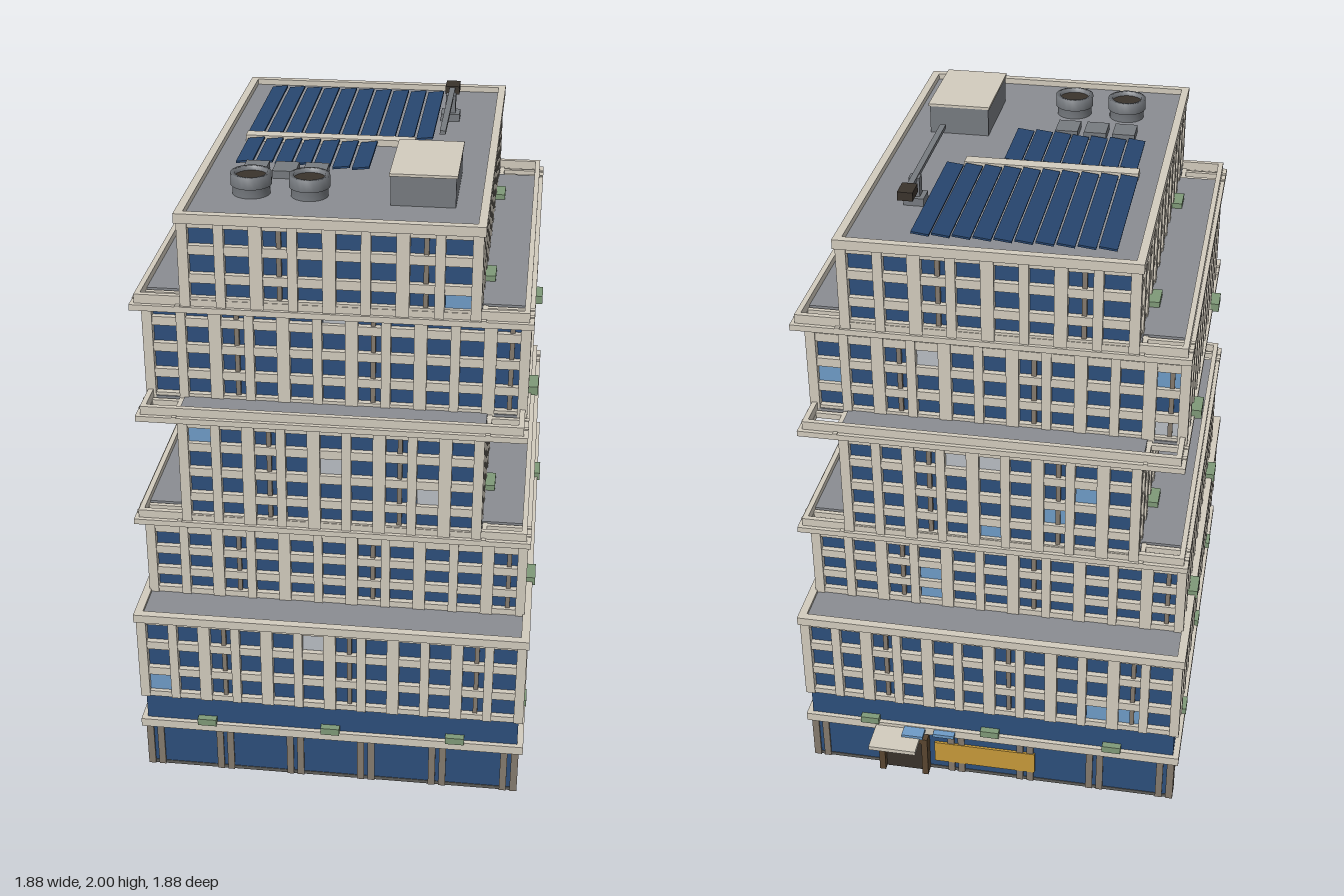
import * as THREE from 'three';
import { mergeGeometries } from 'three/addons/utils/BufferGeometryUtils.js';

const mat = (color) => new THREE.MeshStandardMaterial({ color });
const M = {
  frame: mat(0xd3ccbe), glass: mat(0x2d4f7c), light: mat(0x6f9cc8), blind: mat(0xb9bec4),
  deck: mat(0x8a8d92), under: mat(0x5e5d59), pier: mat(0x857b6e), plant: mat(0x7f9a78),
  panel: mat(0x27466f), metal: mat(0x777b80), dark: mat(0x3a332c), gold: mat(0xc79a3a), door: mat(0x5a4630),
};

// Box geometry from size and centre
const box = (w, h, d, x, y, z) => new THREE.BoxGeometry(w, h, d).translate(x, y, z);

function add(parent, name, geos, material) {
  const list = [].concat(geos);
  if (!list.length) return;
  const mesh = new THREE.Mesh(mergeGeometries(list), material);
  mesh.name = name;
  parent.add(mesh);
}

// Rectangular ring of four beams, outer half sizes hx and hz
function ring(hx, hz, y0, y1, t) {
  const y = (y0 + y1) / 2, h = y1 - y0, out = [];
  for (const s of [-1, 1]) {
    out.push(box(2 * hx, h, t, 0, y, s * (hz - t / 2)));
    out.push(box(t, h, 2 * (hz - t), s * (hx - t / 2), y, 0));
  }
  return out;
}

// The four sides of a block: turn, half width along the side, distance from the centre
const sides = (hx, hz) => [[0, hx, hz], [Math.PI / 2, hz, hx], [Math.PI, hx, hz], [-Math.PI / 2, hz, hx]];

let seed = 7;
const rand = () => (seed = (seed * 16807) % 2147483647) / 2147483647;

// One storey block: recessed glass behind a grid of piers and bands
function tier(parent, name, hx, hz, y0, y1, rows) {
  const g = new THREE.Group();
  g.name = name;
  const inset = 0.022, h = y1 - y0, mid = (y0 + y1) / 2;
  add(g, 'glazing', box(2 * (hx - inset), h, 2 * (hz - inset), 0, mid, 0), M.glass);
  const grid = [], bright = [], blinds = [], mullions = [];
  for (const [turn, half, dist] of sides(hx, hz)) {
    const put = (list, geo) => list.push(geo.rotateY(turn));
    const n = Math.round((2 * half) / 0.106), pitch = (2 * half - 0.03) / n, rise = h / rows;
    for (let i = 0; i <= n; i++) {
      const x = -half + 0.015 + i * pitch;
      const w = i === 0 || i === n ? 0.03 : i % 2 ? 0.028 : 0.038;
      put(grid, box(w, h, 0.024, x, mid, dist - 0.012));
      if (i < n && i % 4 === 2) put(mullions, box(0.014, h, 0.012, x + pitch * 0.62, mid, dist - inset + 0.004));
    }
    for (let r = 0; r <= rows; r++) {
      const edge = r === 0 || r === rows, bh = edge ? 0.02 : 0.028;
      const y = r === 0 ? y0 + 0.01 : r === rows ? y1 - 0.01 : y0 + r * rise;
      put(grid, box(2 * half - 0.008, bh, 0.02, 0, y, dist - 0.014));
    }
    // a few brighter panes and drawn blinds
    for (let i = 0; i < n; i++) for (let r = 0; r < rows; r++) {
      const k = rand();
      if (k > 0.06) continue;
      put(k < 0.04 ? bright : blinds,
        box(pitch * 0.7, rise * 0.66, 0.006, -half + 0.015 + (i + 0.5) * pitch, y0 + (r + 0.5) * rise, dist - inset + 0.002));
    }
  }
  add(g, 'facadeGrid', grid, M.frame);
  add(g, 'mullions', mullions, M.pier);
  add(g, 'brightPanes', bright, M.light);
  add(g, 'blinds', blinds, M.blind);
  parent.add(g);
}

// Terrace between two crossing blocks, with open beams over the corners
function terrace(parent, name, a, b, y0, y1) {
  const g = new THREE.Group();
  g.name = name;
  const X = Math.max(a[0], b[0]) + 0.007, Z = Math.max(a[1], b[1]) + 0.007;
  const x = Math.min(a[0], b[0]), z = Math.min(a[1], b[1]);
  const plates = (h, y) => [box(2 * X - 0.03, h, 2 * z, 0, y, 0), box(2 * x, h, 2 * Z - 0.03, 0, y, 0)];
  add(g, 'soffit', plates(0.012, y0 + 0.008), M.under);
  add(g, 'deck', plates(0.012, y0 + 0.019), M.deck);
  const beams = [...ring(X, Z, y0, y0 + 0.018, 0.03), ...ring(X - 0.013, Z - 0.013, y0 + 0.018, y1, 0.016)];
  for (const sx of [-1, 1]) for (const sz of [-1, 1]) {
    for (const f of [0.12, 0.55]) {
      beams.push(box(X - x, 0.018, 0.014, sx * (X + x) / 2, y0 + 0.012, sz * (z + f * (Z - z))));
    }
    beams.push(box(0.014, 0.018, Z - z, sx * (x + 0.008), y0 + 0.012, sz * (z + Z) / 2));
  }
  add(g, 'cornice', beams, M.frame);
  parent.add(g);
}

export function createModel() {
  const model = new THREE.Group();
  model.name = 'steppedTower';
  const b = new THREE.Group();
  b.name = 'building';
  b.rotation.y = -Math.PI / 4;
  model.add(b);

  // Glazed base with piers, ledge and the second floor
  add(b, 'basePlate', box(1.2, 0.012, 1.38, 0, 0.006, 0), M.under);
  add(b, 'baseGlazing', box(1.196, 0.27, 1.376, 0, 0.147, 0), M.glass);
  const piers = [], basePlants = [];
  for (const [turn, half, dist] of sides(0.605, 0.695)) {
    const n = half > 0.65 ? 6 : 5;
    for (let i = 0; i <= n; i++) for (const s of [-1, 1]) {
      const x = -half + 0.03 + i * (2 * half - 0.06) / n + s * 0.017;
      piers.push(box(0.022, 0.165, 0.022, x, 0.0825, dist - 0.012).rotateY(turn));
    }
    for (const s of [-1, 0, 1]) {
      basePlants.push(box(0.06, 0.024, 0.03, s * half * 0.66, 0.196, dist).rotateY(turn));
    }
  }
  add(b, 'basePiers', piers, M.pier);
  add(b, 'ledge', ring(0.617, 0.703, 0.158, 0.187, 0.04), M.frame);
  add(b, 'ledgePlanters', basePlants, M.plant);

  // Entrance on the back right side
  add(b, 'doorFrame', [box(0.02, 0.15, 0.05, 0.215, 0.075, -0.7), box(0.02, 0.15, 0.05, 0.36, 0.075, -0.7),
    box(0.165, 0.02, 0.05, 0.2875, 0.143, -0.7)], M.door);
  add(b, 'door', box(0.13, 0.135, 0.02, 0.2875, 0.067, -0.694), M.dark);
  add(b, 'canopy', box(0.155, 0.014, 0.13, 0.303, 0.168, -0.742), M.frame);
  add(b, 'canopyGlass', [box(0.07, 0.012, 0.05, 0.25, 0.178, -0.72), box(0.07, 0.012, 0.05, 0.15, 0.178, -0.7)], M.light);
  add(b, 'litWindow', box(0.335, 0.08, 0.012, 0.02, 0.08, -0.69), M.gold);

  // Stacked blocks, alternately long and wide: half x, half z, bottom, top, rows
  const T = [[0.612, 0.702, 0.28, 0.578, 3], [0.598, 0.56, 0.59, 0.908, 4], [0.455, 0.655, 0.925, 1.268, 4],
    [0.572, 0.537, 1.28, 1.622, 4], [0.43, 0.64, 1.638, 1.898, 3]];
  T.forEach((t, i) => tier(b, 'block' + (i + 1), ...t));
  add(b, 'lowerTerrace', box(1.2, 0.014, 1.38, 0, 0.582, 0), M.deck);
  add(b, 'lowerParapet', ring(0.618, 0.708, 0.57, 0.598, 0.026), M.frame);
  terrace(b, 'terrace1', T[1], T[2], 0.906, 0.95);
  terrace(b, 'terrace2', T[2], T[3], 1.265, 1.31);
  terrace(b, 'terrace3', T[3], T[4], 1.62, 1.666);

  // Planters at the foot of the long sides
  const plants = [];
  for (const [hx, , y0] of T.slice(1)) for (const sx of [-1, 1]) for (const sz of [-1, 1]) {
    plants.push(box(0.04, 0.028, 0.08, sx * (hx + 0.008), y0 + 0.01, sz * 0.335));
  }
  add(b, 'planters', plants, M.plant);

  // Roof deck and parapet
  const roof = new THREE.Group();
  roof.name = 'roof';
  b.add(roof);
  add(roof, 'roofDeck', box(0.85, 0.016, 1.27, 0, 1.896, 0), M.deck);
  add(roof, 'roofParapet', ring(0.436, 0.646, 1.893, 1.922, 0.024), M.frame);

  // Rows of solar panels on both sides of a walkway
  const panels = [];
  const panelRow = (x, z0, z1) =>
    panels.push(box(0.052, 0.006, z1 - z0, 0, 0, 0).rotateZ(0.12).translate(x, 1.917, (z0 + z1) / 2));
  for (let i = 0; i < 10; i++) panelRow(-0.325 + i * 0.059, -0.56, -0.08);
  for (let i = 0; i < 7; i++) panelRow(-0.315 + i * 0.059, -0.025, i < 4 ? 0.19 : 0.21);
  add(roof, 'solarPanels', panels, M.panel);
  add(roof, 'walkway', box(0.53, 0.02, 0.042, -0.085, 1.914, -0.053), M.frame);
  add(roof, 'coolingUnits', [-0.27, -0.18, -0.09].map((x) => box(0.07, 0.025, 0.085, x, 1.915, 0.245)), M.metal);

  // Round fans
  for (const x of [-0.255, -0.085]) {
    const pts = [[0.055, 1.9], [0.055, 1.93], [0.06, 1.932], [0.06, 1.967], [0.047, 1.967], [0.047, 1.95]];
    const shell = new THREE.LatheGeometry(pts.map((p) => new THREE.Vector2(...p)), 20).translate(x, 0, 0.41);
    add(roof, 'fanHousing', shell, M.metal);
    add(roof, 'fanWell', new THREE.CylinderGeometry(0.048, 0.048, 0.05, 20).translate(x, 1.93, 0.41), M.dark);
  }

  // Plant room
  add(roof, 'plantRoom', box(0.186, 0.09, 0.29, 0.247, 1.947, 0.32), M.metal);
  add(roof, 'plantRoomRoof', box(0.194, 0.008, 0.298, 0.247, 1.996, 0.32), M.frame);

  // Window cleaning crane
  add(roof, 'craneBase', box(0.06, 0.025, 0.06, 0.27, 1.915, -0.33), M.metal);
  add(roof, 'cranePost', box(0.032, 0.07, 0.032, 0.27, 1.95, -0.33), M.metal);
  add(roof, 'craneArm', box(0.018, 0.012, 0.47, 0.27, 1.982, -0.19), M.metal);
  add(roof, 'counterweight', box(0.045, 0.026, 0.065, 0.27, 1.978, -0.425), M.dark);
  return model;
}
